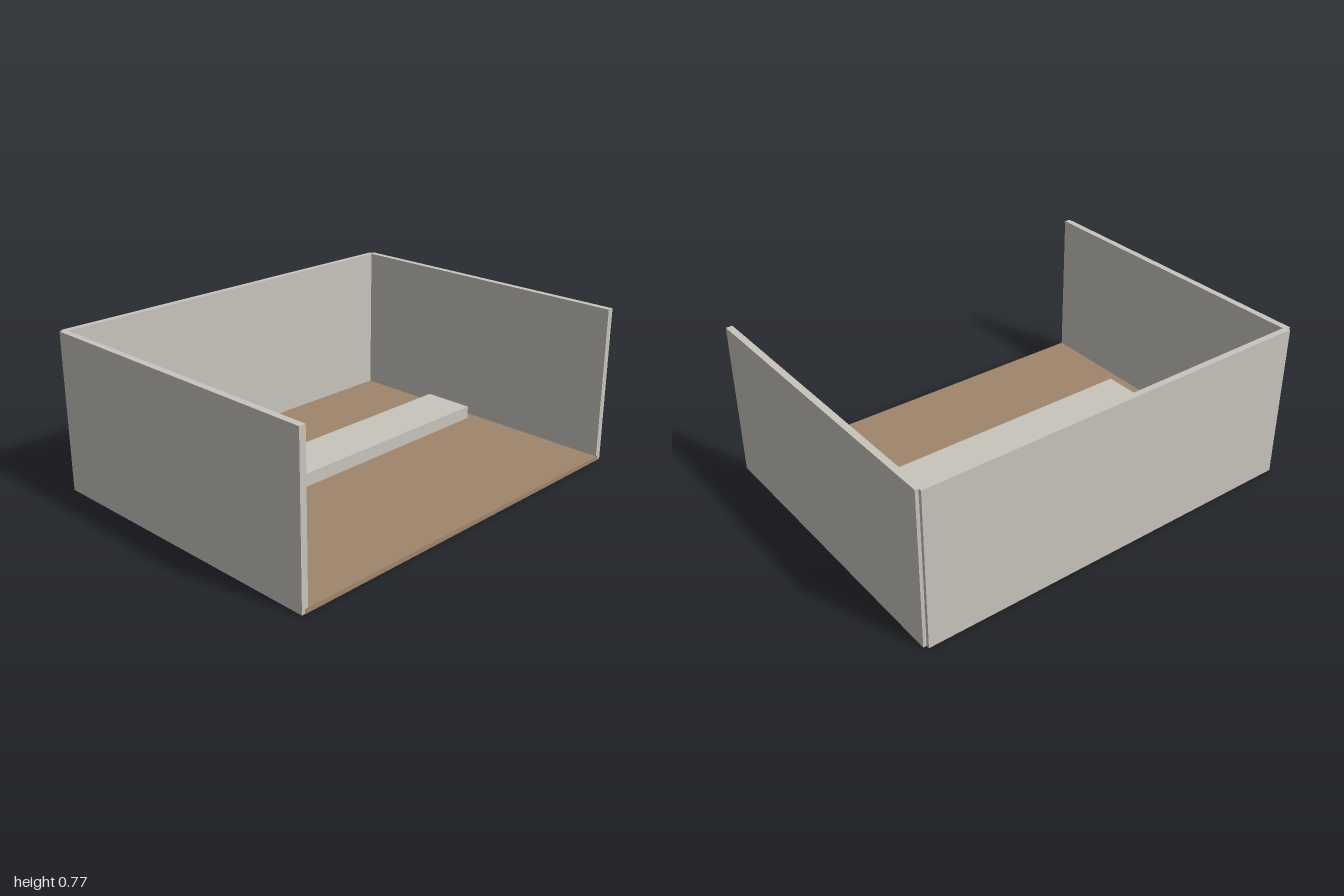
import * as THREE from 'three';

export function createModel() {
  const group = new THREE.Group();
  const plaster = new THREE.MeshStandardMaterial({ color: 0xc8c4bc });
  plaster.name = 'pale plaster';
  const wood = new THREE.MeshStandardMaterial({ color: 0xa0856b });
  wood.name = 'brown floor';

  // Box given by its minimum and maximum on each axis
  function box(name, material, [x0, x1], [y0, y1], [z0, z1]) {
    const mesh = new THREE.Mesh(new THREE.BoxGeometry(x1 - x0, y1 - y0, z1 - z0), material);
    mesh.position.set((x0 + x1) / 2, (y0 + y1) / 2, (z0 + z1) / 2);
    mesh.name = name;
    group.add(mesh);
  }

  const height = 0.766;
  const thick = 0.032;
  const mid = 1 - thick / 2; // centre line of the side walls

  // Floor, reaching to the middle of each wall
  box('floor', wood, [-mid, mid], [0, 0.022], [-0.754, 0.771]);

  // Three walls, open at the front
  box('leftWall', plaster, [1 - thick, 1], [0.001, height], [-0.755, 0.77]);
  box('rightWall', plaster, [-1, thick - 1], [0.001, height], [-0.755, 0.77]);
  box('backWall', plaster, [-mid, mid], [0.001, height - 0.0005], [-0.771, -0.741]);

  // Furniture: a block in the rear corner and a long raised counter
  box('cornerBlock', plaster, [-0.827, -0.487], [0.012, 0.35], [-0.711, -0.371]);
  box('counterSlab', plaster, [-0.763, 0.763], [0.1, 0.163], [-0.123, 0.132]);

  return group;
}
